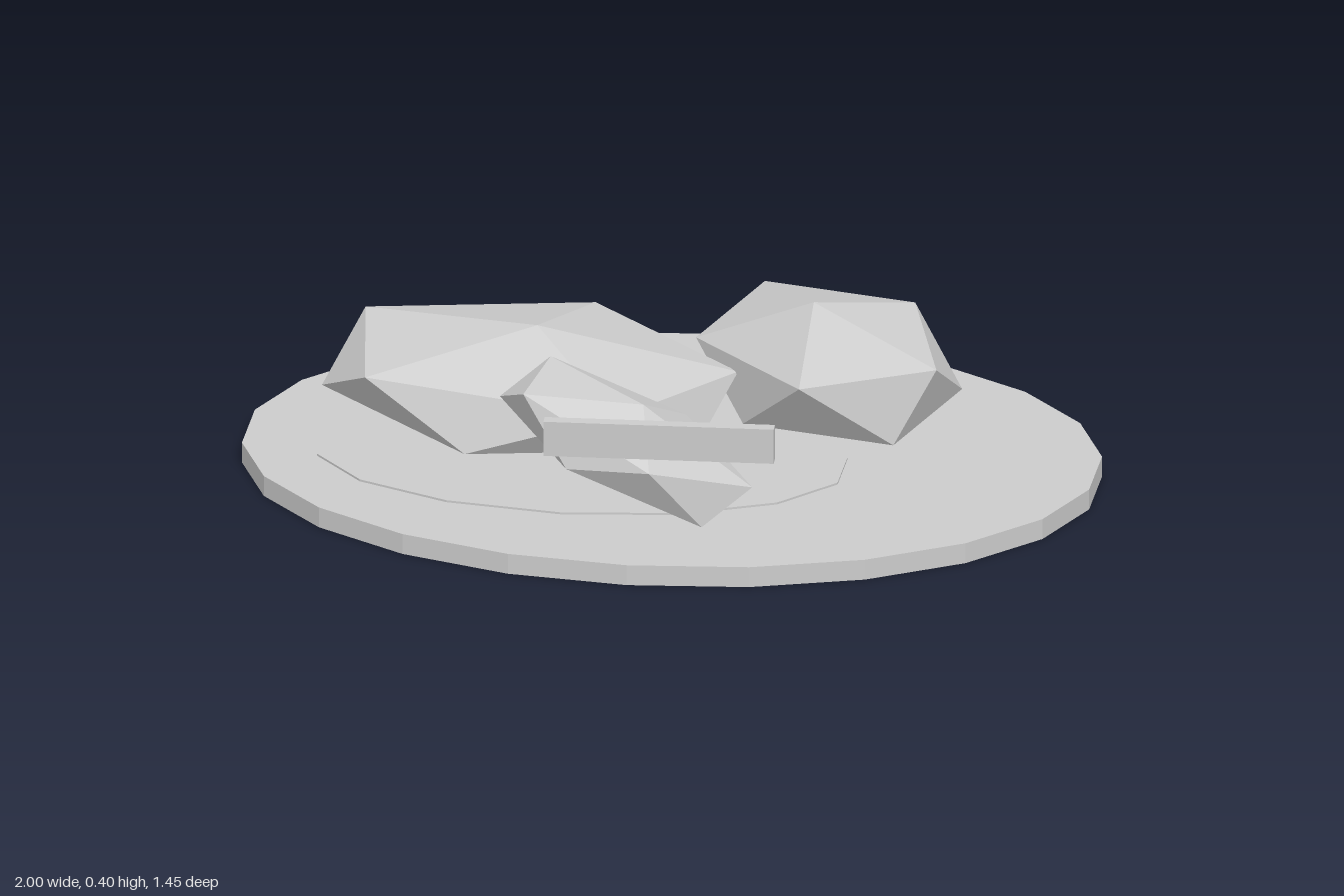
import * as THREE from 'three';
import { ConvexGeometry } from 'three/addons/geometries/ConvexGeometry.js';

const material = new THREE.MeshStandardMaterial({ color: 0xcccccc, flatShading: true });

function add(group, name, geometry, x, y, z) {
  const mesh = new THREE.Mesh(geometry, material);
  mesh.name = name;
  mesh.position.set(x, y, z);
  group.add(mesh);
  return mesh;
}

// Flat elliptical slab with a faceted rim
function slab(rx, rz, height, sides) {
  return new THREE.CylinderGeometry(1, 1, height, sides).scale(rx, 1, rz);
}

// Stretched twenty-sided boulder: six corners, each mirrored through the centre
function boulder(corners) {
  const points = corners.flatMap(([x, y, z]) => [
    new THREE.Vector3(x, y, z),
    new THREE.Vector3(-x, -y, -z),
  ]);
  return new ConvexGeometry(points);
}

export function createModel() {
  const model = new THREE.Group();
  model.name = 'rockPile';

  // Ground
  add(model, 'groundDisc', slab(1.01, 0.727, 0.05, 22), 0, 0.025, 0);
  add(model, 'groundPatch', slab(0.63, 0.357, 0.012, 14), -0.2, 0.049, 0.079);

  // Boulders
  add(model, 'largeBoulder', boulder([
    [-0.48, -0.015, 0.075], [-0.4, 0.125, -0.08], [0.115, 0.09, -0.27],
    [-0.355, 0.075, 0.235], [0.235, 0.005, 0.225], [0.02, 0.142, 0.018],
  ]), -0.335, 0.21, 0);
  add(model, 'sideBoulder', boulder([
    [0.32, -0.03, 0.04], [0.285, 0.085, 0.215], [0.19, 0.128, -0.09],
    [0.188, -0.097, 0.247], [-0.035, 0.03, 0.246], [-0.03, 0.168, 0.041],
  ]), 0.35, 0.232, -0.141);
  add(model, 'frontBoulder', boulder([
    [-0.303, 0.083, -0.035], [-0.23, 0.14, 0.085], [-0.195, 0.158, -0.115],
    [0.08, -0.007, 0.175], [0.12, 0.018, -0.145], [0.043, 0.102, 0.015],
  ]), -0.053, 0.217, 0.375);

  // Plank across the front boulder
  const plank = add(model, 'plank', new THREE.BoxGeometry(0.54, 0.086, 0.03), 0.046, 0.283, 0.517);
  plank.rotation.y = 0.055;

  return model;
}
